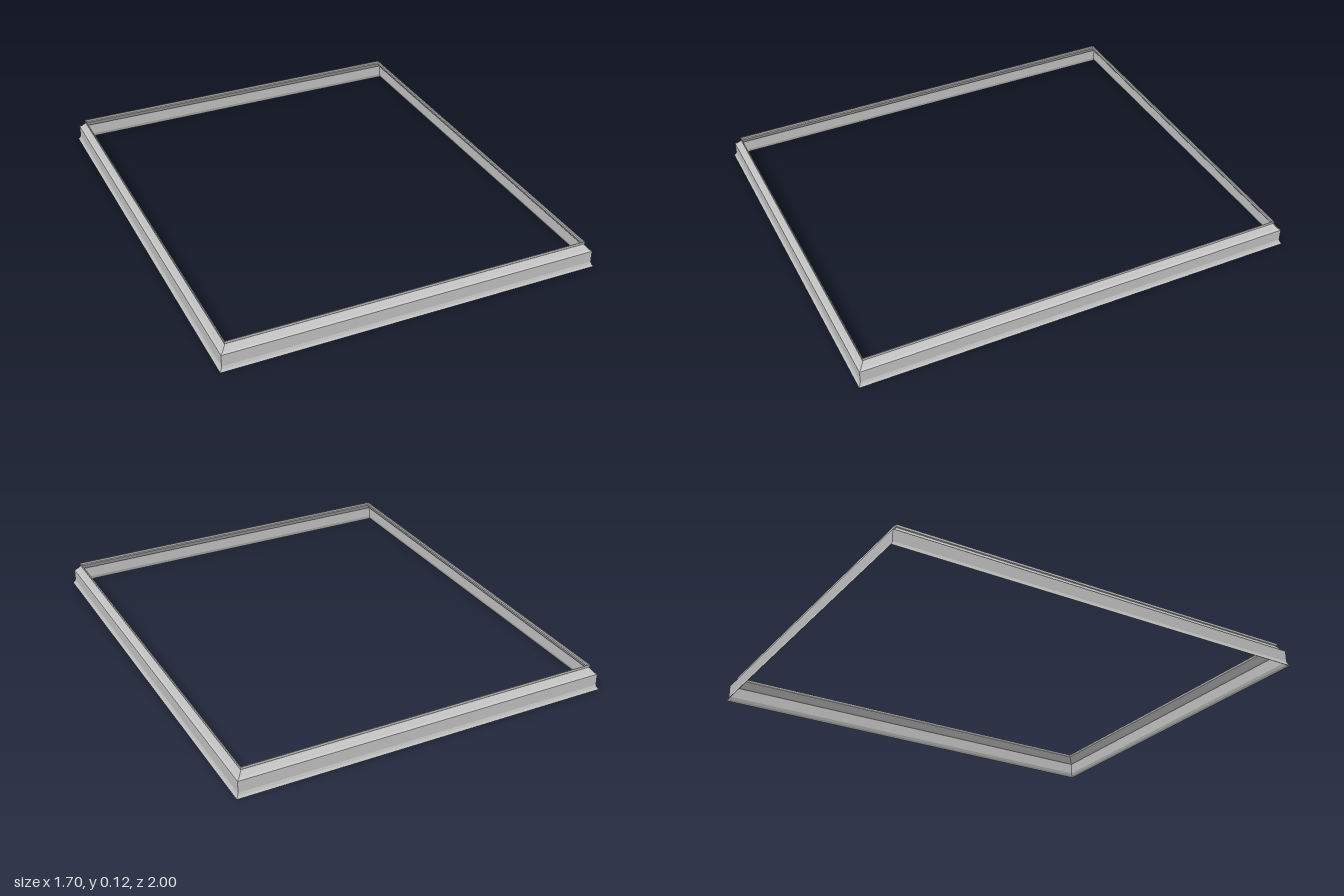
import * as THREE from 'three';

const HALF_X = 0.85;
const HALF_Z = 1.0;

// Thin sheet section as [inset from outer edge, height]:
// up the outside of the sheet, over the lip, and back down the inside
const SECTION = [
  [0, 0], [0.006, 0.009], [0.01, 0.021], [0.01, 0.074],
  [0.019, 0.079], [0.037, 0.102], [0.034, 0.105], [0.034, 0.115],
  [0.037, 0.115], [0.037, 0.106], [0.04, 0.102], [0.021, 0.075],
  [0.013, 0.072], [0.013, 0.02], [0.009, 0.008], [0.003, 0],
];

// Corner signs, going round the frame from the front
const CORNERS = [[-1, 1], [1, 1], [1, -1], [-1, -1]];
const NAMES = ['frontRail', 'leftRail', 'backRail', 'rightRail'];

function cornerPoint([sx, sz], [inset, y]) {
  return [sx * (HALF_X - inset), y, sz * (HALF_Z - inset)];
}

// One rail: the section run between two mitred corners, with flat faces
function railGeometry(a, b) {
  const positions = [];
  SECTION.forEach((p, i) => {
    const q = SECTION[(i + 1) % SECTION.length];
    const ap = cornerPoint(a, p), bp = cornerPoint(b, p);
    const aq = cornerPoint(a, q), bq = cornerPoint(b, q);
    positions.push(...ap, ...bp, ...bq, ...ap, ...bq, ...aq);
  });
  const geometry = new THREE.BufferGeometry();
  geometry.setAttribute('position', new THREE.Float32BufferAttribute(positions, 3));
  geometry.computeVertexNormals();
  return geometry;
}

export function createModel() {
  const group = new THREE.Group();
  group.name = 'rectangularFrame';
  const metal = new THREE.MeshStandardMaterial({ color: 0xc4c4c4 });
  metal.name = 'light grey metal';
  metal.side = THREE.DoubleSide;

  NAMES.forEach((name, i) => {
    const rail = new THREE.Mesh(railGeometry(CORNERS[i], CORNERS[(i + 1) % 4]), metal);
    rail.name = name;
    group.add(rail);
  });
  return group;
}
